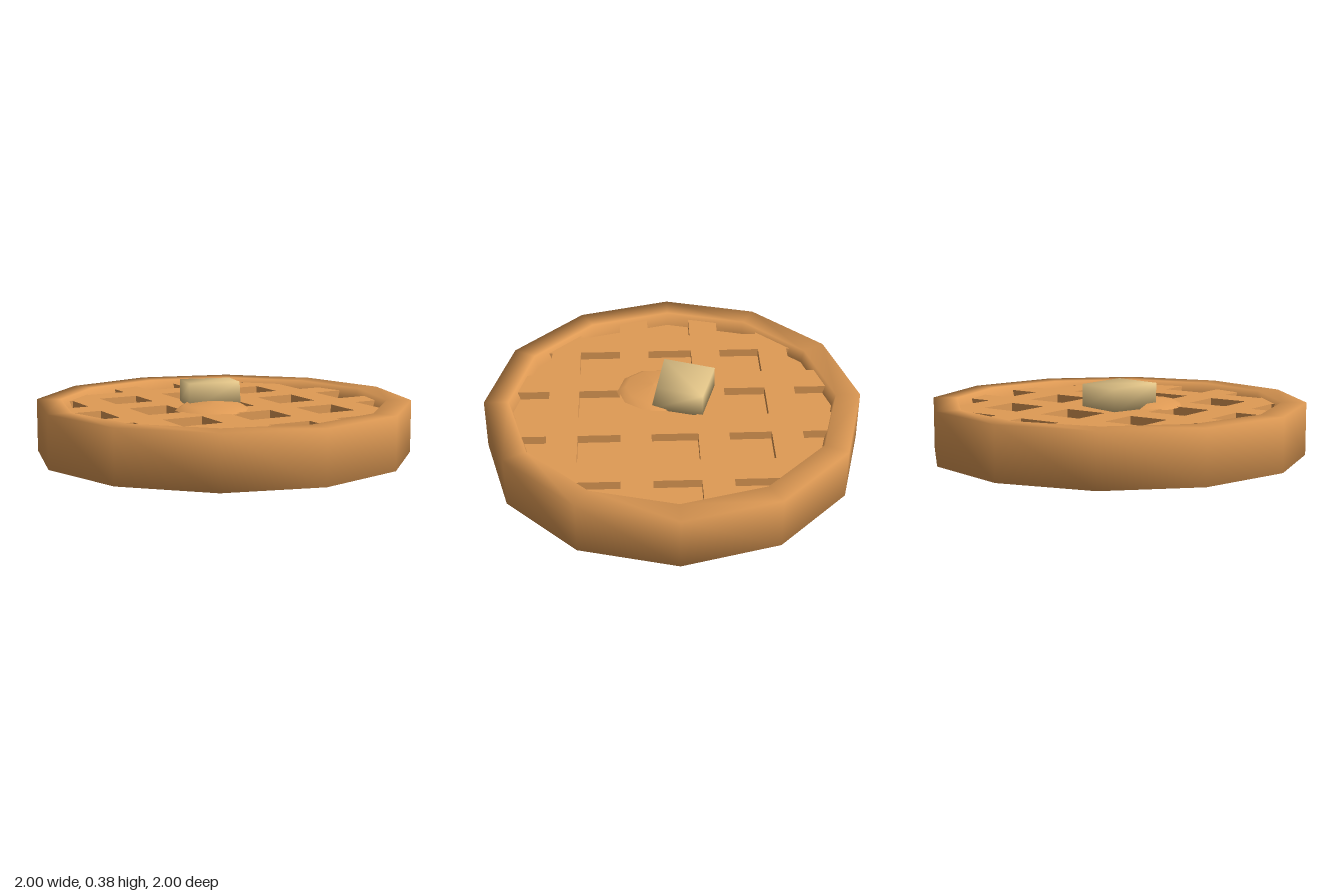
import * as THREE from 'three';
import { mergeVertices } from 'three/addons/utils/BufferGeometryUtils.js';

export function createModel() {
  const model = new THREE.Group();
  model.name = 'waffle';
  const batter = new THREE.MeshStandardMaterial({ name: 'golden batter', color: 0xe09b55 });
  const butter = new THREE.MeshStandardMaterial({ name: 'butter yellow', color: 0xe3c588 });

  const add = (name, geometry, material, x = 0, y = 0, z = 0) => {
    const mesh = new THREE.Mesh(geometry, material);
    mesh.name = name;
    mesh.position.set(x, y, z);
    model.add(mesh);
    return mesh;
  };
  const lathe = (points, sides) =>
    new THREE.LatheGeometry(points.map(([r, y]) => new THREE.Vector2(r, y)), sides);

  // Twelve-sided rim, softly shaded over its edges
  add('rim', lathe([[0.85, 0.07], [0.87, 0], [1, 0], [1, 0.28], [0.87, 0.28], [0.85, 0.21]], 12), batter);

  // Core that forms the pocket floors on both faces
  add('pocketFloor', new THREE.CylinderGeometry(0.88, 0.88, 0.13, 12), batter, 0, 0.145, 0);

  // Crossing bars of the lattice; their ends are buried in the rim
  for (const [offset, halfLength] of [[0.2, 0.87], [0.58, 0.69]]) {
    for (const side of [-1, 1]) {
      add('lengthwiseBar', new THREE.BoxGeometry(0.16, 0.23, 2 * halfLength), batter, side * offset, 0.14, 0);
      add('crosswiseBar', new THREE.BoxGeometry(2 * halfLength, 0.23, 0.16), batter, 0, 0.14, side * offset);
    }
  }

  // Low mound beneath the butter
  add('mound', lathe([[0.2, 0.25], [0.15, 0.28], [0, 0.293]], 10), batter, -0.12, 0, 0.1);

  // Butter pat: a smooth-shaded block with one front corner leaning back
  const box = new THREE.BoxGeometry(0.275, 0.14, 0.28);
  box.deleteAttribute('normal');
  box.deleteAttribute('uv');
  const pat = mergeVertices(box);
  const p = pat.attributes.position;
  for (let i = 0; i < p.count; i++) {
    if (p.getY(i) < 0) continue;
    if (p.getZ(i) < 0) p.setY(i, p.getY(i) - 0.012);
    else if (p.getX(i) > 0) p.setZ(i, p.getZ(i) - 0.03);
  }
  pat.computeVertexNormals();
  add('butterPat', pat, butter, -0.052, 0.315, -0.057).rotation.y = -0.29;

  return model;
}
